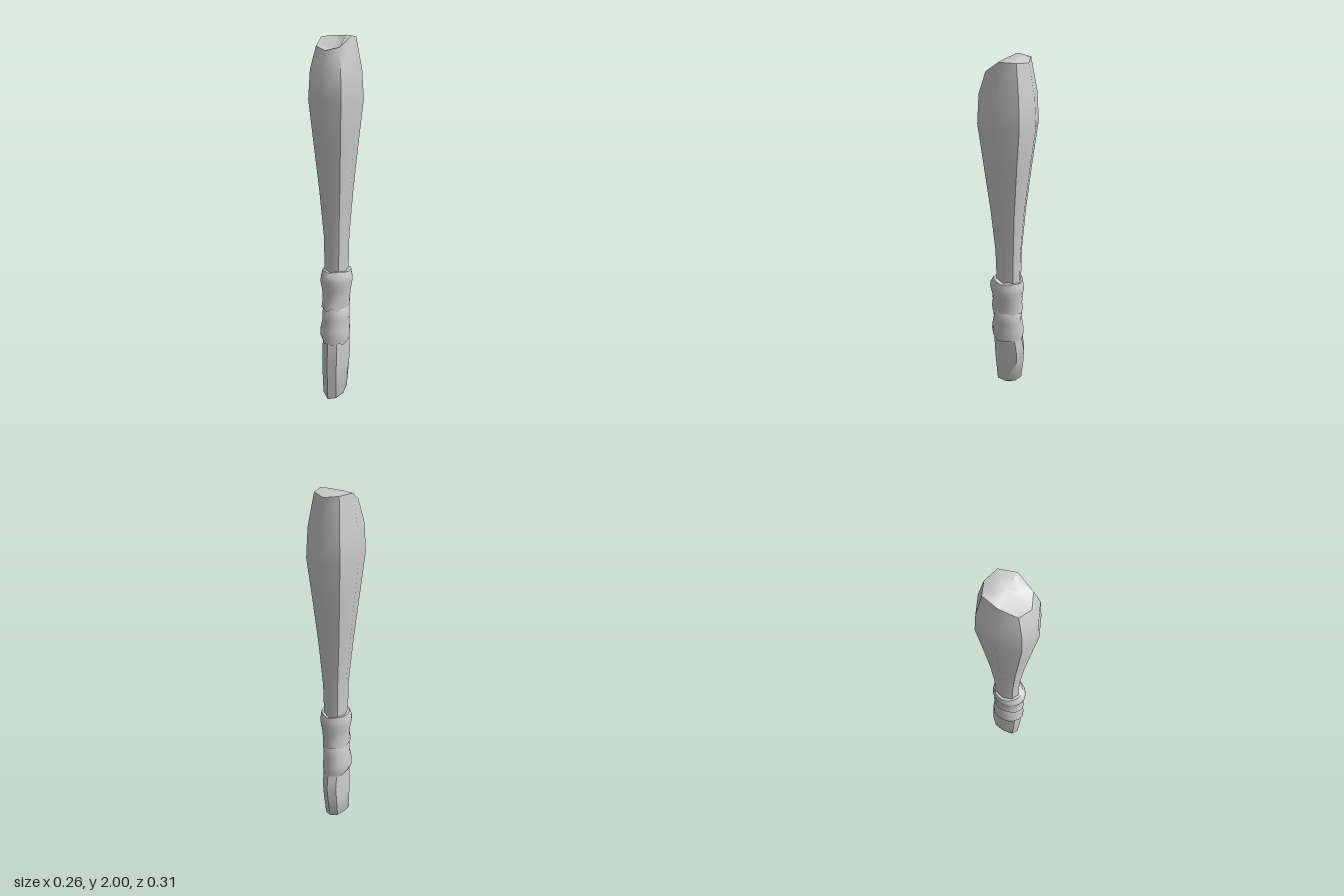
import * as THREE from 'three';
import { toCreasedNormals } from 'three/addons/utils/BufferGeometryUtils.js';

const material = new THREE.MeshStandardMaterial({ color: 0xcccccc, side: THREE.DoubleSide });

// Joins rings of equal point count, bottom to top; optional end points close the caps.
function loft(name, rings, crease, bottom, top) {
  const n = rings[0].length, pos = rings.flat(2), index = [];
  for (let r = 0; r < rings.length - 1; r++) {
    for (let k = 0; k < n; k++) {
      const a = r * n + k, b = r * n + (k + 1) % n;
      index.push(a, b, b + n, a, b + n, a + n);
    }
  }
  const cap = (point, start, flip) => {
    const c = pos.length / 3;
    pos.push(...point);
    for (let k = 0; k < n; k++) {
      const a = start + k, b = start + (k + 1) % n;
      index.push(c, flip ? b : a, flip ? a : b);
    }
  };
  if (bottom) cap(bottom, 0, true);
  if (top) cap(top, (rings.length - 1) * n, false);
  const g = new THREE.BufferGeometry();
  g.setAttribute('position', new THREE.Float32BufferAttribute(pos, 3));
  g.setIndex(index);
  const mesh = new THREE.Mesh(toCreasedNormals(g, crease), material);
  mesh.name = name;
  return mesh;
}

// Oval ring given by its extents [y, -x, +x, -z, +z]; point 0 faces the front (+z).
// dy adds a height offset per point.
function ring([y, x0, x1, z0, z1], n, dy = []) {
  return Array.from({ length: n }, (_, k) => {
    const a = k / n * Math.PI * 2, bulge = n === 8 && k % 2 ? 1.07 : 1;
    const s = Math.sin(a) * bulge, c = Math.cos(a) * bulge;
    return [(x0 + x1) / 2 + s * (x1 - x0) / 2, y + (dy[k] || 0), (z0 + z1) / 2 + c * (z1 - z0) / 2];
  });
}

// Shaft from the chipped foot to the slanted cut at the head
function shaft() {
  const foot = [-0.03, -0.02, -0.01, 0.01, 0.02, 0.025, 0.02, 0];
  const cut = [-0.075, -0.06, 0, 0, -0.01, 0, 0, -0.05];
  const inner = [-0.07, -0.06, 0, 0, 0, 0, 0, -0.05];
  const rings = [
    ring([0.05, -0.065, 0.043, -0.085, 0.075], 8, foot),
    ring([0.2, -0.067, 0.052, -0.1, 0.088], 8),
    ring([0.28, -0.064, 0.056, -0.105, 0.091], 8),
    ring([0.36, -0.062, 0.058, -0.092, 0.09], 8),
    ring([0.5, -0.06, 0.058, -0.075, 0.072], 8),
    ring([0.77, -0.06, 0.058, -0.074, 0.066], 8),
    ring([0.95, -0.062, 0.062, -0.077, 0.07], 8),
    ring([1.2, -0.083, 0.083, -0.096, 0.093], 8),
    ring([1.45, -0.107, 0.107, -0.125, 0.125], 8),
    ring([1.68, -0.129, 0.129, -0.155, 0.155], 8),
    ring([1.83, -0.12, 0.12, -0.145, 0.145], 8),
    ring([1.995, -0.093, 0.091, -0.11, 0.11], 8, cut),
    ring([2, -0.055, 0.055, -0.07, 0.06], 8, inner),
  ];
  return loft('shaft', rings, 0.87, [0, 0, 0], [0, 2, -0.005]);
}

// Torn cloth band: ragged lower hem, both rims tucked in to the shaft
function wrap(name, rows, hem, rim) {
  const rings = rows.map((row, i) => ring(row, 16, i < 2 ? hem : i >= rows.length - 2 ? rim : []));
  return loft(name, rings, 1.1);
}

export function createModel() {
  const group = new THREE.Group();
  group.name = 'woodenClub';
  group.add(shaft());

  const hemA = [-0.012, 0.008, -0.016, 0.006, 0, 0.008, -0.004, 0.004, -0.006, 0.01, 0.002, -0.008, 0.004, 0.01, 0, 0.008];
  const hemB = [0, -0.008, 0.006, -0.012, 0, 0.008, 0.01, 0.002, 0, 0.008, -0.004, 0.006, 0.01, 0.006, 0.012, -0.006];
  const rim = [-0.008, 0, 0.004, 0, -0.004, 0.004, 0.004, 0, -0.008, 0, 0.004, 0.002, 0, 0.002, 0.004, 0];

  group.add(wrap('lowerGripWrap', [
    [0.365, -0.05, 0.05, -0.07, 0.07],
    [0.36, -0.07, 0.069, -0.09, 0.094],
    [0.4, -0.083, 0.074, -0.092, 0.102],
    [0.43, -0.083, 0.073, -0.091, 0.1],
    [0.49, -0.072, 0.07, -0.083, 0.088],
    [0.55, -0.069, 0.075, -0.085, 0.091],
    [0.575, -0.055, 0.055, -0.07, 0.07],
  ], hemB, rim));

  group.add(wrap('upperGripWrap', [
    [0.565, -0.05, 0.05, -0.068, 0.068],
    [0.558, -0.073, 0.071, -0.088, 0.1],
    [0.61, -0.069, 0.074, -0.084, 0.091],
    [0.66, -0.073, 0.08, -0.086, 0.093],
    [0.71, -0.082, 0.09, -0.093, 0.104],
    [0.735, -0.079, 0.088, -0.092, 0.1],
    [0.767, -0.073, 0.08, -0.083, 0.082],
    [0.765, -0.052, 0.052, -0.062, 0.058],
  ], hemA, rim));
  return group;
}
